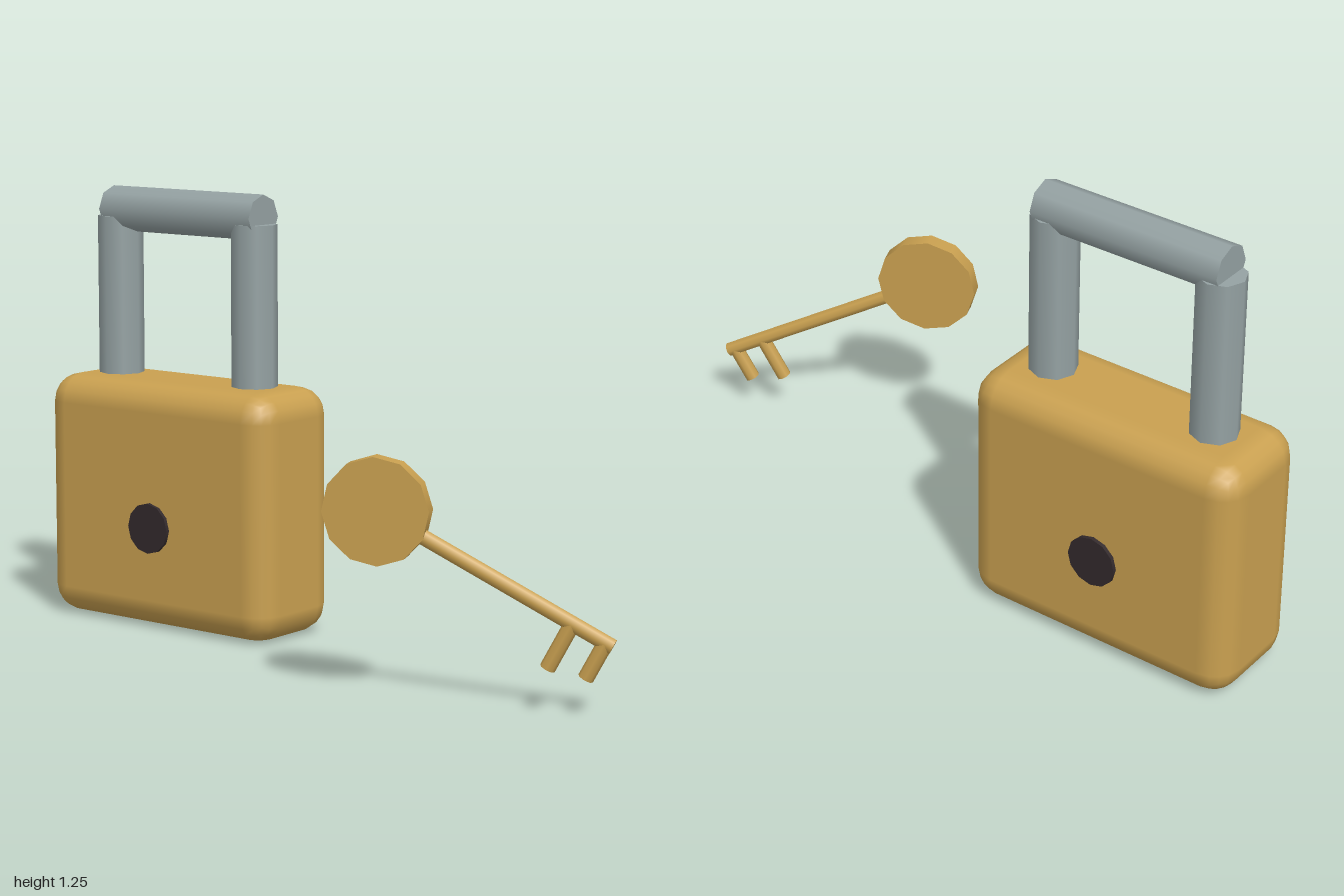
import * as THREE from 'three';
import { RoundedBoxGeometry } from 'three/addons/geometries/RoundedBoxGeometry.js';

export function createModel() {
  const brass = new THREE.MeshStandardMaterial({ name: 'brass', color: 0xc9a050 });
  const steel = new THREE.MeshStandardMaterial({ name: 'steel', color: 0x95a2a3 });
  const dark = new THREE.MeshStandardMaterial({ name: 'dark keyhole', color: 0x332a2c });

  const model = new THREE.Group();
  model.name = 'padlockAndKey';

  const add = (parent, name, geometry, material, x, y, z) => {
    const mesh = new THREE.Mesh(geometry, material);
    mesh.name = name;
    mesh.position.set(x, y, z);
    parent.add(mesh);
    return mesh;
  };
  const rod = (radius, length, sides = 8) => new THREE.CylinderGeometry(radius, radius, length, sides);

  // Padlock: body, shackle and keyhole passing right through
  const lock = new THREE.Group();
  lock.name = 'padlock';
  lock.position.set(-0.585, 0, -0.16);
  model.add(lock);
  add(lock, 'lockBody', new RoundedBoxGeometry(0.83, 0.71, 0.33, 2, 0.082), brass, 0, 0.355, 0);
  for (const side of [-1, 1]) {
    add(lock, side < 0 ? 'shackleRightLeg' : 'shackleLeftLeg', rod(0.066, 0.57), steel, side * 0.252, 0.885, 0);
  }
  const bar = rod(0.065, 0.562).rotateX(0).rotateY(Math.PI / 2).rotateZ(Math.PI / 2);
  add(lock, 'shackleBar', bar, steel, 0.004, 1.19, 0);
  add(lock, 'keyhole', rod(0.073, 0.352, 12).rotateX(Math.PI / 2), dark, -0.003, 0.296, 0);

  // Key: laid out along local x from the centre of its bow, then tilted
  const key = new THREE.Group();
  key.name = 'key';
  key.position.set(0.417, 0.503, 0.257);
  key.rotation.set(0, 0.4, -0.48);
  model.add(key);
  add(key, 'keyBow', rod(0.143, 0.047, 12).rotateX(Math.PI / 2), brass, 0, 0, 0);
  add(key, 'keyShaft', rod(0.021, 0.587).rotateZ(Math.PI / 2), brass, 0.403, 0, 0);
  for (const [x, length] of [[0.578, 0.136], [0.675, 0.108]]) {
    add(key, 'keyTooth', rod(0.021, length), brass, x, -length / 2, 0);
  }

  return model;
}
